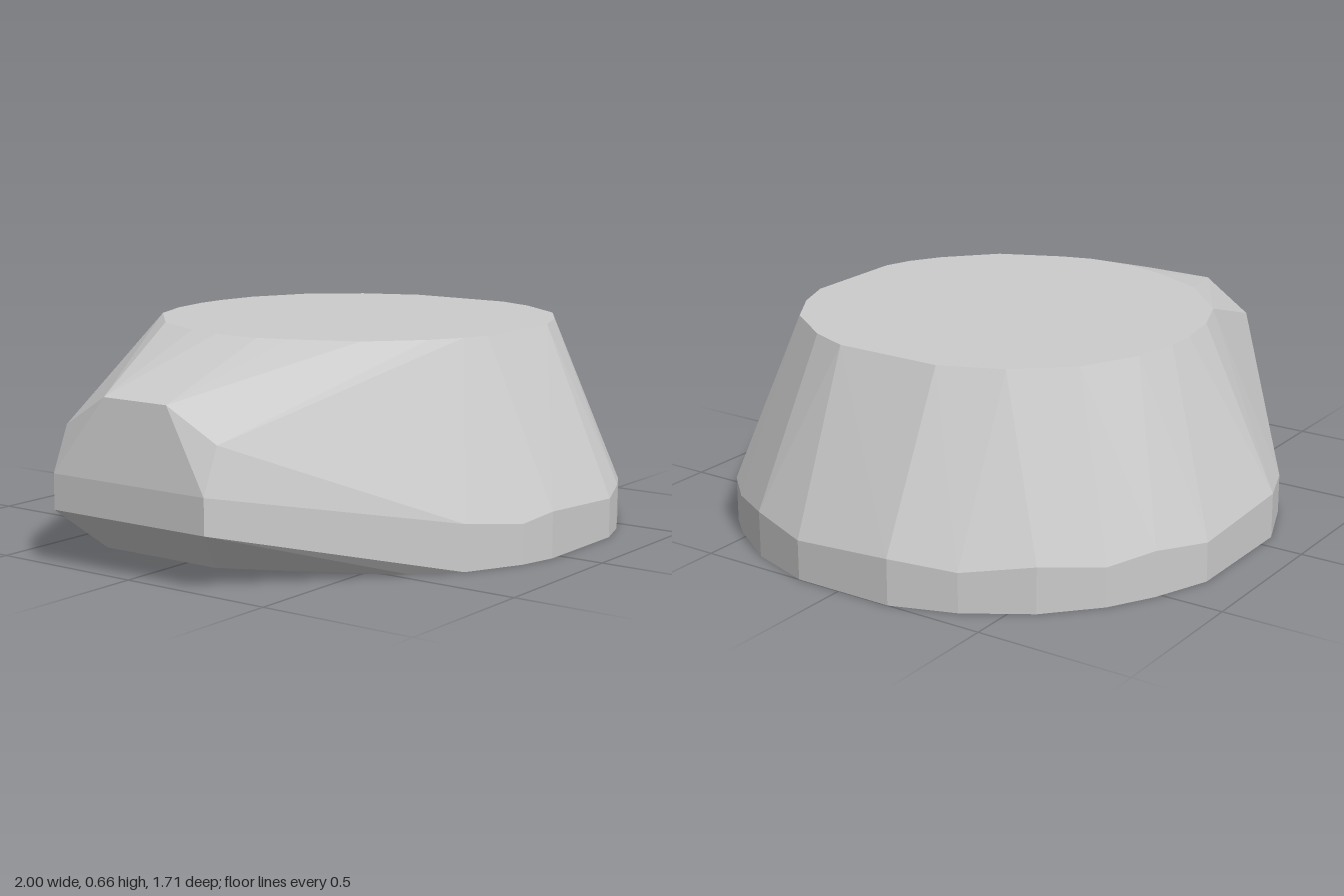
import * as THREE from 'three';
import { ConvexGeometry } from 'three/addons/geometries/ConvexGeometry.js';

// Plan outlines as [x, z]
const baseOutline = [
  [0.34, -0.86], [0.52, -0.79], [0.66, -0.71], [0.81, -0.57], [0.93, -0.38], [1, -0.18],
  [1, 0.15], [0.93, 0.36], [0.82, 0.53], [0.75, 0.61], [0.6, 0.72], [0.43, 0.81],
  [0.31, 0.85], [-0.04, 0.85], [-0.16, 0.82], [-0.34, 0.73], [-0.46, 0.62], [-0.59, 0.42],
  [-0.65, 0.15], [-0.65, -0.15], [-0.59, -0.42], [-0.45, -0.64], [-0.27, -0.78], [-0.07, -0.86],
];
const topOutline = [
  [0.1, -0.645], [0.2, -0.645], [0.35, -0.62], [0.53, -0.53], [0.67, -0.37], [0.75, -0.18],
  [0.75, 0.17], [0.7, 0.3], [0.58, 0.47], [0.44, 0.56], [0.31, 0.61], [-0.04, 0.61],
  [-0.13, 0.58], [-0.23, 0.52], [-0.38, 0.38], [-0.47, 0.18], [-0.5, 0.08],
  [-0.5, -0.08], [-0.47, -0.2], [-0.38, -0.39], [-0.2, -0.56], [-0.05, -0.62],
];
// Half of the blunt nose, mirrored across z
const noseHalf = [
  [-0.86, 0.04, 0.21], [-1, 0.17, 0.29], [-1, 0.28, 0.29], [-0.94, 0.42, 0.29], [-0.96, 0.52, 0.12],
];

export function createModel() {
  const group = new THREE.Group();
  group.name = 'facetedBlock';
  const points = [];

  // Flat base with a short, slightly uneven upright rim
  baseOutline.forEach(([x, z], i) => {
    points.push(new THREE.Vector3(x, 0, z));
    if (x > -0.4) points.push(new THREE.Vector3(x, i % 2 ? 0.145 : 0.125, z));
  });

  // Flat top that the sides taper towards
  for (const [x, z] of topOutline) points.push(new THREE.Vector3(x, 0.66, z));

  // Nose end
  for (const [x, y, z] of noseHalf) {
    points.push(new THREE.Vector3(x, y, z), new THREE.Vector3(x, y, -z));
  }

  // One faceted convex skin around all the sections
  const body = new THREE.Mesh(
    new ConvexGeometry(points),
    new THREE.MeshStandardMaterial({ color: 0xcccccc, flatShading: true }),
  );
  body.name = 'body';
  group.add(body);
  return group;
}
